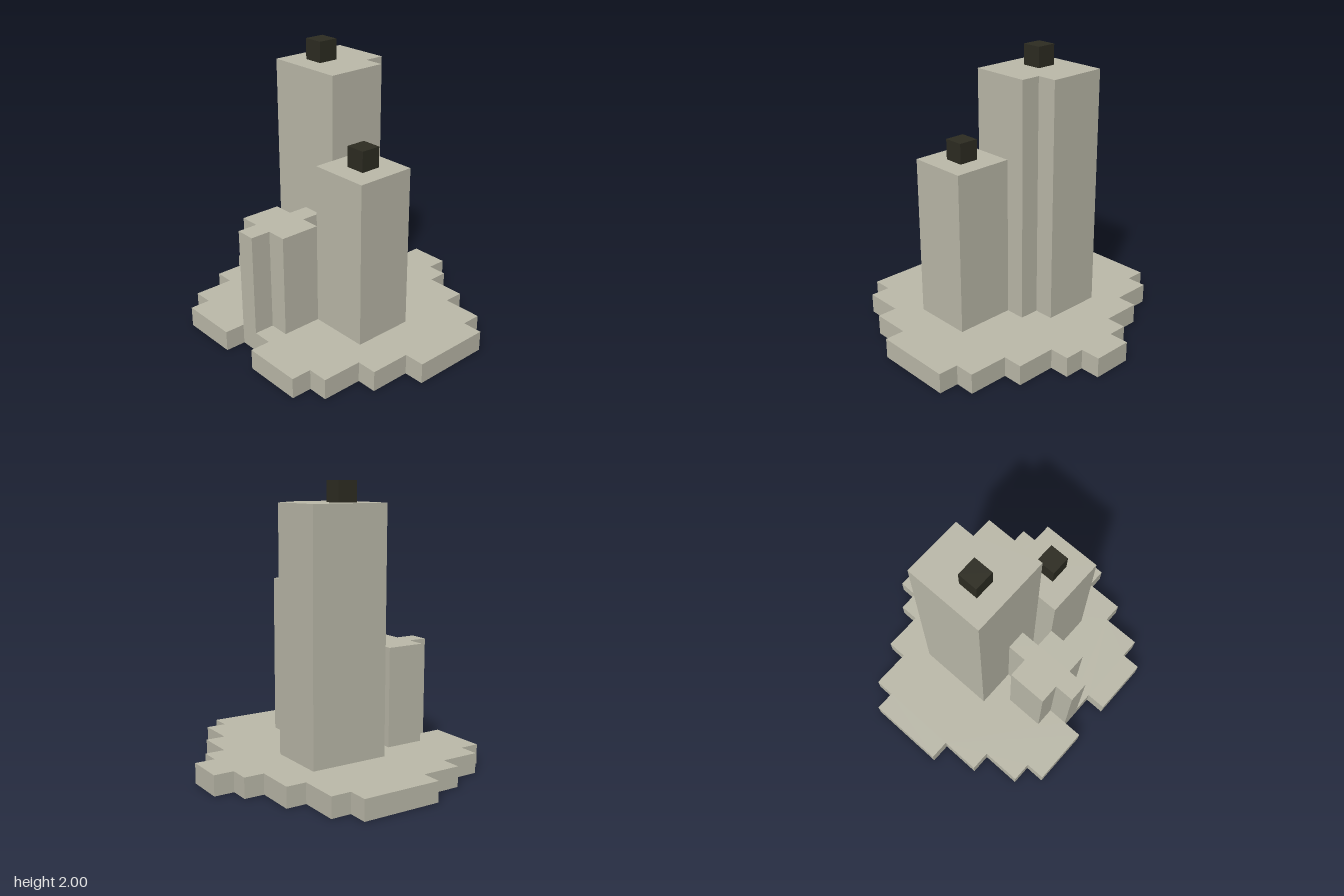
import * as THREE from 'three';

const U = 1 / 7; // edge of one block

const stone = new THREE.MeshStandardMaterial({ color: 0xbcbaaa });
stone.name = 'pale stone';
const dark = new THREE.MeshStandardMaterial({ color: 0x2d2c22 });
dark.name = 'dark cap';

// Vertical prism over an outline of [x, z] corners, between heights y0 and y1 (all in blocks)
function prism(name, outline, y0, y1, material) {
  const shape = new THREE.Shape(outline.map(([x, z]) => new THREE.Vector2(x * U, -z * U)));
  const geometry = new THREE.ExtrudeGeometry(shape, { depth: (y1 - y0) * U, bevelEnabled: false });
  geometry.rotateX(-Math.PI / 2).translate(0, y0 * U, 0);
  const mesh = new THREE.Mesh(geometry, material);
  mesh.name = name;
  return mesh;
}

const rect = (x0, z0, x1, z1) => [[x0, z0], [x0, z1], [x1, z1], [x1, z0]];

export function createModel() {
  const group = new THREE.Group();
  group.name = 'block towers';

  // Stepped base slab: one half of the outline, mirrored across x
  const half = [
    [1, -6.5], [1, -5.5], [2, -5.5], [2, -4.5], [4, -4.5], [4, -3.5], [6, -3.5], [6, -2.5],
    [7, -2.5], [7, 1.5], [6, 1.5], [6, 3.5], [5, 3.5], [5, 5.5], [4, 5.5], [4, 6.5],
    [1, 6.5], [1, 5.5],
  ];
  const mirrored = half.map(([x, z]) => [-x, z]).reverse();
  group.add(prism('base', [...half, ...mirrored], 0, 1, stone));

  // Tall tower with a notched back corner
  group.add(prism('tallTower',
    [[-3, -2.5], [-3, 1.5], [1, 1.5], [1, -1.5], [0, -1.5], [0, -2.5]], 1, 13, stone));

  // Middle tower
  group.add(prism('middleTower', rect(1, -0.5, 4, 2.5), 1, 9, stone));

  // Short cross-shaped tower
  group.add(prism('shortTower', [
    [-1, 1.5], [-1, 2.5], [-2, 2.5], [-2, 4.5], [-1, 4.5], [-1, 5.5],
    [0, 5.5], [0, 4.5], [1, 4.5], [1, 2.5], [0, 2.5], [0, 1.5],
  ], 1, 6, stone));

  // Dark cubes on the roofs
  group.add(prism('tallTowerCap', rect(-2, -0.5, -1, 0.5), 13, 14, dark));
  group.add(prism('middleTowerCap', rect(2, 0.5, 3, 1.5), 9, 10, dark));

  return group;
}
